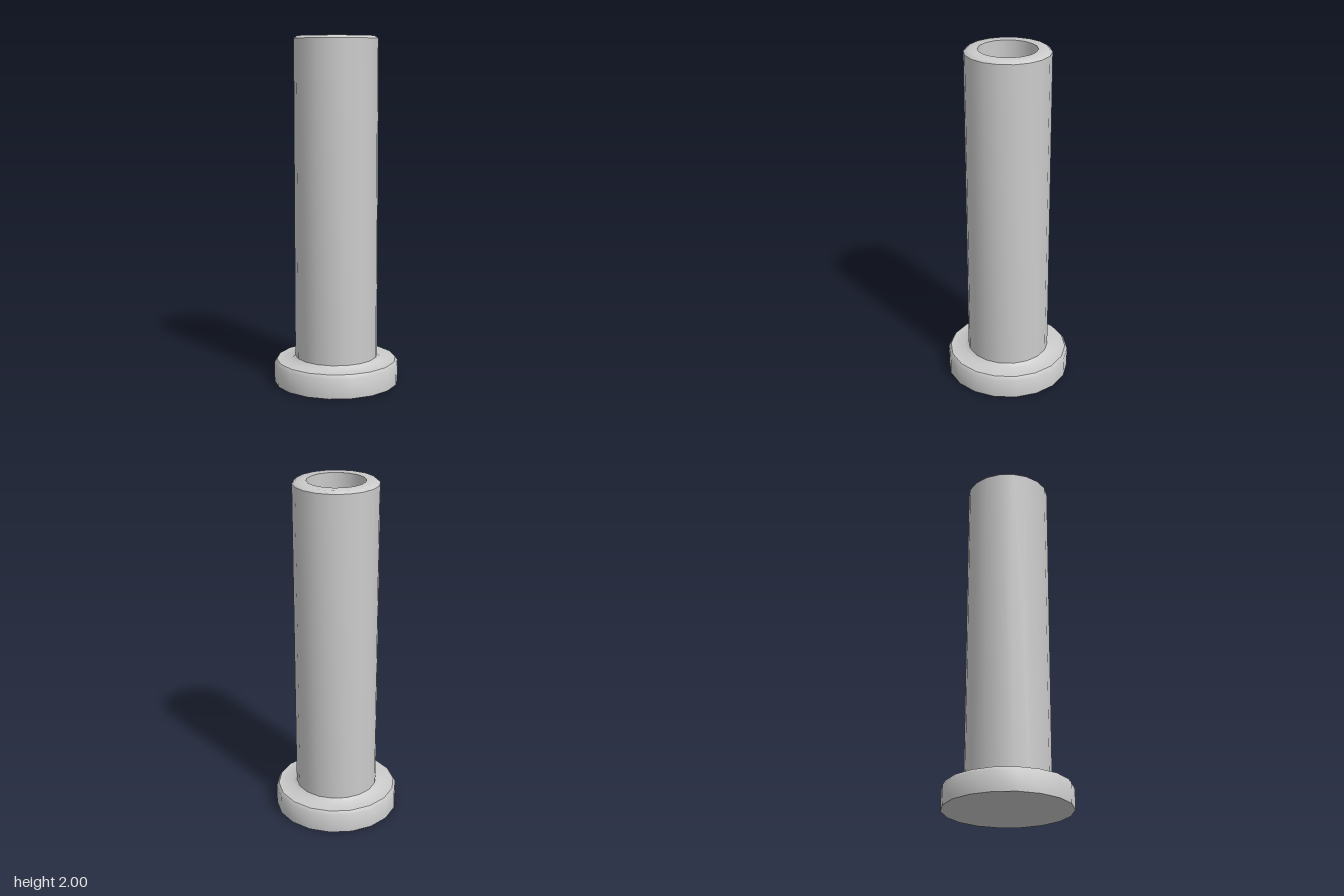
import * as THREE from 'three';
import { toCreasedNormals } from 'three/addons/utils/BufferGeometryUtils.js';

const SIDES = 18;

// Revolve a profile of [radius, height] pairs, keeping its sharp edges crisp
function turned(name, profile, material) {
  const points = profile.map(([r, y]) => new THREE.Vector2(r, y));
  const geometry = toCreasedNormals(new THREE.LatheGeometry(points, SIDES), 0.8);
  const mesh = new THREE.Mesh(geometry, material);
  mesh.name = name;
  return mesh;
}

export function createModel() {
  const group = new THREE.Group();
  group.name = 'flangedSleeve';
  const grey = new THREE.MeshStandardMaterial({ color: 0xcccccc });

  // Flange with a bevelled rim, a small fillet and the hollow tube above it
  group.add(turned('flangeAndTube', [
    [0, 0], [0.362, 0], [0.362, 0.115], [0.348, 0.135],
    [0.262, 0.135], [0.24, 0.155],
    [0.24, 1.985], [0.222, 2], [0.164, 2],
  ], grey));

  // Blind bore: wall running down to a flat floor
  group.add(turned('bore', [[0.164, 2], [0.164, 0.135], [0, 0.135]], grey));

  return group;
}
